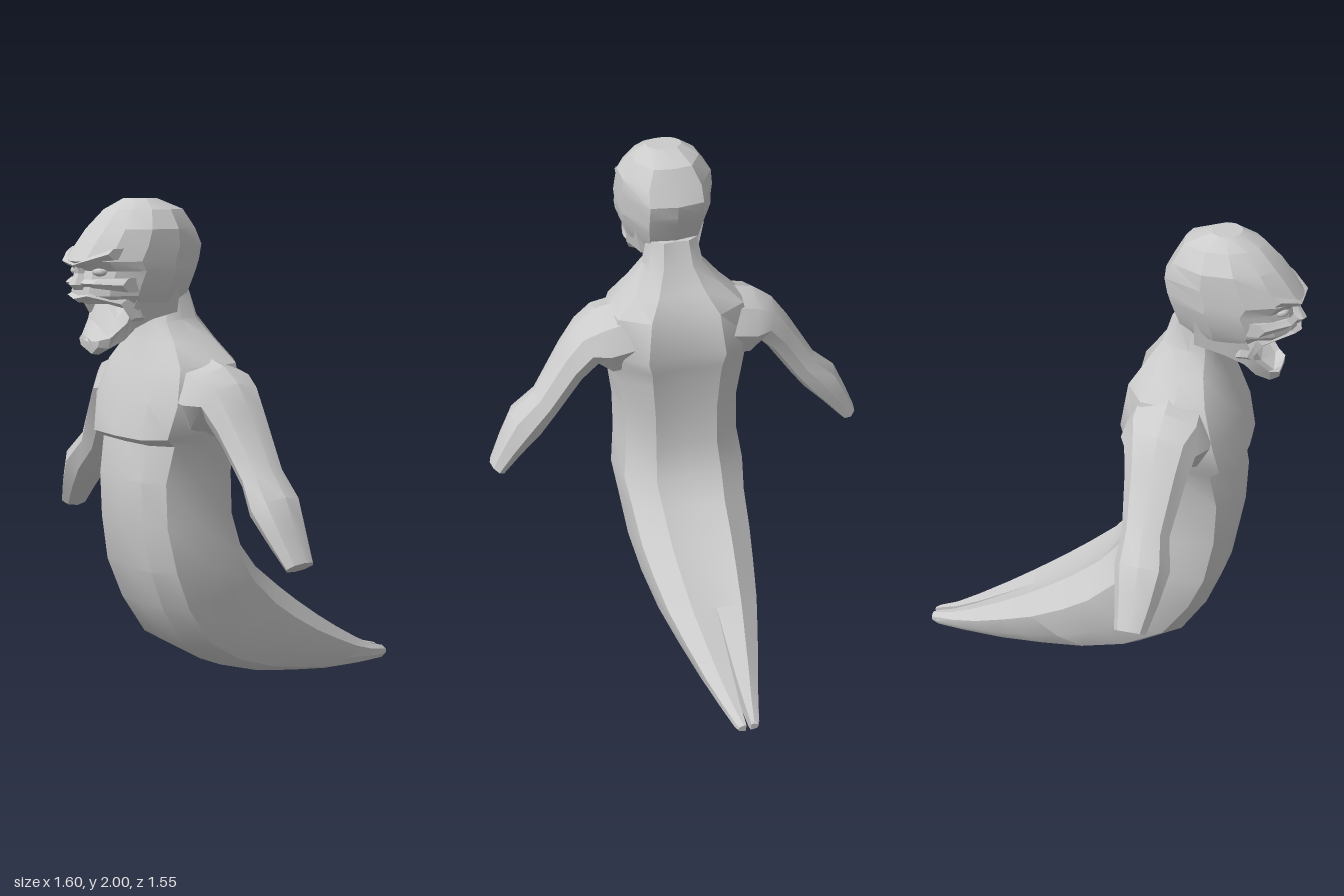
import * as THREE from 'three';
import { toCreasedNormals } from 'three/addons/utils/BufferGeometryUtils.js';

const material = new THREE.MeshStandardMaterial({ color: 0xcccccc, side: THREE.DoubleSide });

// Skin a list of closed rings and cap both ends.
function loft(name, rings, crease) {
  const n = rings[0].length, index = [], last = (rings.length - 1) * n;
  for (let i = 0; i < rings.length - 1; i++) {
    for (let j = 0; j < n; j++) {
      const a = i * n + j, b = i * n + (j + 1) % n;
      index.push(a, a + n, b + n, a, b + n, b);
    }
  }
  for (let j = 1; j < n - 1; j++) {
    index.push(0, j, j + 1, last, last + j + 1, last + j);
  }
  const geometry = new THREE.BufferGeometry();
  geometry.setAttribute('position', new THREE.Float32BufferAttribute(rings.flat(2), 3));
  geometry.setIndex(index);
  const mesh = new THREE.Mesh(toCreasedNormals(geometry, crease), material);
  mesh.name = name;
  return mesh;
}

const flip = ([x, y, z]) => [-x, y, z];
const mirrorRing = (ring) => ring.map(flip).reverse();
const fullRing = (half) => [...half, ...half.slice(1, -1).reverse().map(flip)];

// Half outline from front centre to back centre: [share of width, share of depth].
const TORSO = [[0, 0], [0.55, 0.02], [0.87, 0.15], [1, 0.45], [0.92, 0.8], [0.5, 1], [0, 0.96]];
const SKULL = [[0, 0], [0.36, 0.02], [0.72, 0.14], [0.98, 0.36], [0.98, 0.65], [0.58, 0.96], [0, 1]];

const halfRing = (outline, [zf, yf, zb, yb, w], gap = 0) => outline.map(([u, v]) =>
  [Math.max(u * w, gap), yf + (yb - yf) * v, zf + (zb - zf) * v]);

// Ring for parts running sideways: top point, bottom point, front z, back z.
function sideRing([xt, yt, xb, yb, zf, zb], n) {
  return Array.from({ length: n }, (_, i) => {
    const a = (i / n) * Math.PI * 2, s = (1 + Math.sin(a)) / 2;
    return [xb + (xt - xb) * s, yb + (yt - yb) * s, (zf + zb) / 2 + Math.cos(a) * (zf - zb) / 2];
  });
}

function addPair(group, name, rings, crease) {
  group.add(loft(`left${name}`, rings, crease));
  group.add(loft(`right${name}`, rings.map(mirrorRing), crease));
}

export function createModel() {
  const model = new THREE.Group();
  model.name = 'tailedFigure';

  // Neck, chest and belly: front z, front y, back z, back y, half width
  const torso = [
    [0.43, 1.66, 0.28, 1.66, 0.10],
    [0.45, 1.54, 0.25, 1.56, 0.12],
    [0.47, 1.47, 0.19, 1.47, 0.19],
    [0.51, 1.38, 0.135, 1.39, 0.28],
    [0.56, 1.25, 0.11, 1.22, 0.32],
    [0.59, 1.115, 0.12, 1.16, 0.29],
    [0.545, 1.09, 0.13, 1.10, 0.28],
    [0.575, 0.95, 0.14, 0.95, 0.26],
    [0.57, 0.78, 0.135, 0.78, 0.26],
    [0.54, 0.60, 0.10, 0.65, 0.28],
    [0.48, 0.44, 0.02, 0.55, 0.265],
    [0.38, 0.28, -0.10, 0.45, 0.255],
    [0.20, 0.17, -0.20, 0.375, 0.235],
    [0.00, 0.105, -0.33, 0.285, 0.205],
  ];
  model.add(loft('torso', torso.map((s) => fullRing(halfRing(TORSO, s))), 0.55));

  // Tail, split along the middle
  const tail = [
    torso[torso.length - 1],
    [-0.20, 0.065, -0.45, 0.21, 0.165],
    [-0.40, 0.03, -0.58, 0.135, 0.12],
    [-0.60, 0.012, -0.68, 0.085, 0.08],
    [-0.74, 0.005, -0.76, 0.06, 0.052],
    [-0.77, 0.015, -0.775, 0.05, 0.042],
  ];
  addPair(model, 'TailHalf', tail.map((s, i) => halfRing(TORSO, s, Math.min(i * 0.003, 0.01))), 0.55);

  // Arms from shoulder to blunt wrist
  const arm = [
    [0.16, 1.43, 0.20, 1.12, 0.48, 0.15],
    [0.33, 1.39, 0.28, 1.12, 0.49, 0.15],
    [0.41, 1.335, 0.33, 1.17, 0.45, 0.18],
    [0.48, 1.24, 0.40, 1.10, 0.43, 0.20],
    [0.60, 1.045, 0.50, 0.96, 0.40, 0.22],
    [0.70, 0.955, 0.57, 0.865, 0.425, 0.215],
    [0.755, 0.84, 0.66, 0.775, 0.40, 0.235],
    [0.80, 0.735, 0.74, 0.69, 0.37, 0.25],
  ];
  addPair(model, 'Arm', arm.map((s) => sideRing(s, 8)), 0.6);

  const head = new THREE.Group();
  head.name = 'head';
  model.add(head);

  // Skull: y, front z, back z, half width
  const skull = [
    [2.0, 0.52, 0.41, 0.07], [1.96, 0.60, 0.31, 0.13], [1.89, 0.67, 0.27, 0.18],
    [1.83, 0.72, 0.24, 0.185], [1.775, 0.76, 0.25, 0.185], [1.74, 0.72, 0.265, 0.185],
    [1.70, 0.735, 0.28, 0.178], [1.65, 0.74, 0.30, 0.165], [1.62, 0.71, 0.32, 0.15],
  ];
  head.add(loft('skull', skull.map(([y, f, b, w]) => fullRing(halfRing(SKULL, [f, y, b, y, w]))), 0.35));

  // Open lower jaw: half width, z, rim y, underside y, mouth floor y
  const jaw = [
    [0.14, 0.38, 1.68, 1.55, 1.66], [0.158, 0.50, 1.68, 1.53, 1.64],
    [0.155, 0.575, 1.65, 1.50, 1.55], [0.135, 0.615, 1.55, 1.455, 1.49],
    [0.10, 0.665, 1.495, 1.425, 1.455], [0.07, 0.695, 1.485, 1.43, 1.475],
  ];
  head.add(loft('jaw', jaw.map(([w, z, top, low, floor]) => fullRing([
    [0, floor, z], [w * 0.8, top - 0.01, z - 0.01], [w, top, z], [w * 0.85, low + 0.03, z], [0, low, z - 0.01],
  ])), 0.35));

  // Brow, cheek and upper lip ridges
  const ridges = {
    Brow: [[0, 1.775, 0, 1.745, 0.76, 0.68], [0.07, 1.79, 0.07, 1.758, 0.763, 0.68],
      [0.145, 1.825, 0.145, 1.78, 0.70, 0.60]],
    Cheek: [[0.03, 1.71, 0.03, 1.68, 0.75, 0.68], [0.09, 1.715, 0.10, 1.675, 0.735, 0.65],
      [0.165, 1.72, 0.165, 1.66, 0.65, 0.55]],
    UpperLip: [[0, 1.655, 0, 1.62, 0.76, 0.66], [0.065, 1.665, 0.065, 1.635, 0.745, 0.64],
      [0.14, 1.64, 0.13, 1.60, 0.64, 0.55], [0.15, 1.57, 0.13, 1.55, 0.60, 0.54]],
  };
  for (const [name, sections] of Object.entries(ridges)) {
    addPair(head, name, sections.map((s) => sideRing(s, 6)), 0.35);
  }

  // Eyes
  for (const side of [1, -1]) {
    const eye = new THREE.Mesh(new THREE.SphereGeometry(0.03, 10, 6), material);
    eye.name = side > 0 ? 'leftEye' : 'rightEye';
    eye.scale.set(1.2, 0.6, 1);
    eye.position.set(side * 0.075, 1.737, 0.69);
    head.add(eye);
  }

  // Nose, widening from the bridge to the nostrils
  const nose = [[1.765, 0.755, 0.014], [1.73, 0.75, 0.018], [1.69, 0.775, 0.036], [1.67, 0.755, 0.03]];
  head.add(loft('nose', nose.map(([y, z, w]) => fullRing([
    [0, y, z], [w * 0.6, y, z - 0.008], [w, y, z - 0.04], [0, y, z - 0.09],
  ])), 0.35));

  return model;
}
